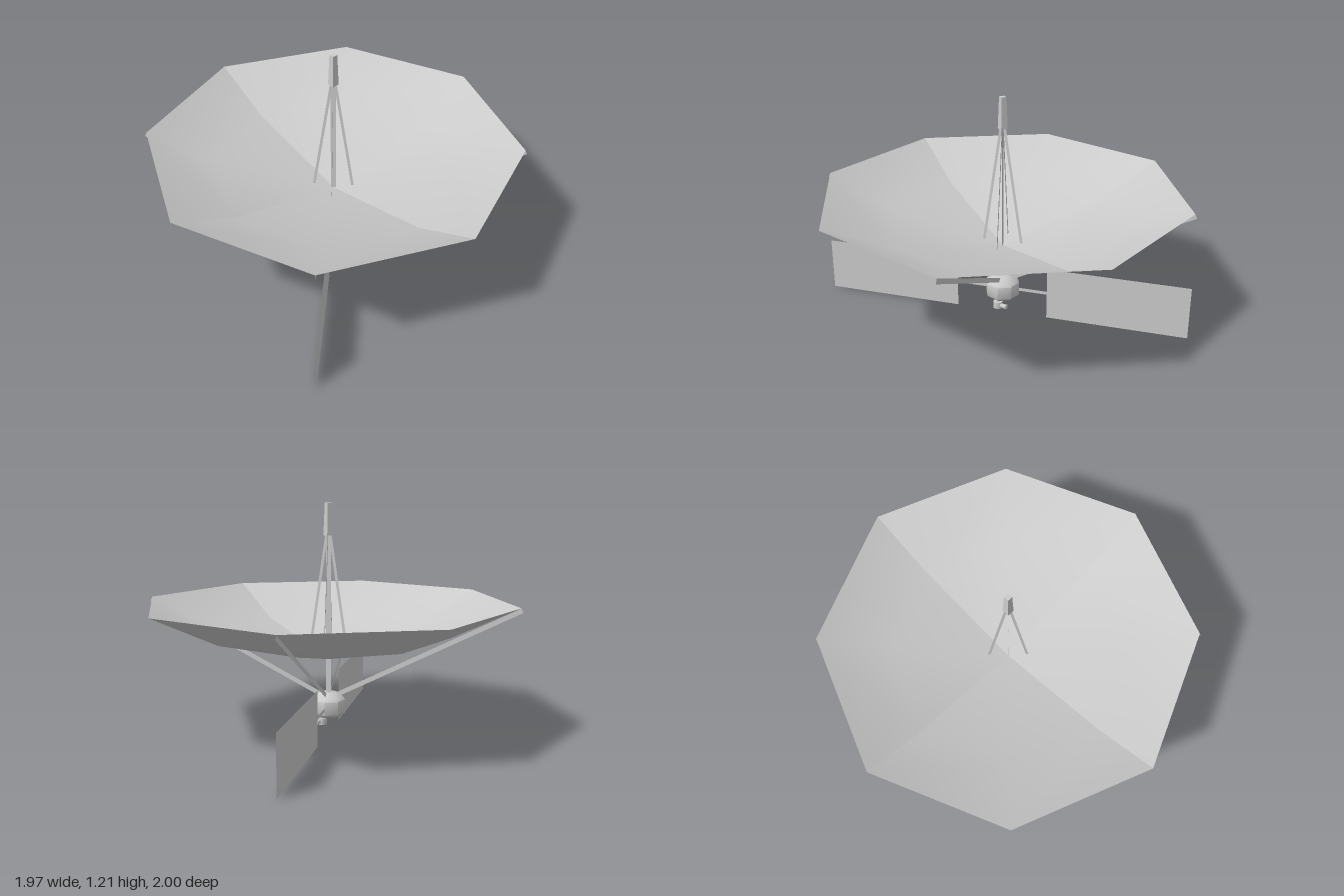
import * as THREE from 'three';
import { mergeVertices, toCreasedNormals } from 'three/addons/utils/BufferGeometryUtils.js';

const material = new THREE.MeshStandardMaterial({ color: 0xcccccc, side: THREE.DoubleSide });

function add(parent, name, geometry) {
  const mesh = new THREE.Mesh(geometry, material);
  mesh.name = name;
  parent.add(mesh);
  return mesh;
}

// Flat strip in a vertical plane through the axis, from (r0, y0) to (r1, y1), turned about y
function strip(parent, name, [r0, y0], [r1, y1], width, turn = 0) {
  const geometry = new THREE.PlaneGeometry(Math.hypot(r1 - r0, y1 - y0), width);
  geometry.rotateZ(Math.atan2(y1 - y0, r1 - r0));
  geometry.translate((r0 + r1) / 2, (y0 + y1) / 2, 0);
  geometry.rotateY(turn);
  return add(parent, name, geometry);
}

function lathe(points, sides, start = 0, sweep = Math.PI * 2) {
  return new THREE.LatheGeometry(points.map(([r, y]) => new THREE.Vector2(r, y)), sides, start, sweep);
}

export function createModel() {
  const model = new THREE.Group();
  model.name = 'dishSatellite';
  const core = new THREE.Group();
  core.name = 'core';
  core.position.z = -0.005;
  model.add(core);

  // Octagonal dish: four sectors, each smooth inside, creased along the diagonals
  const dish = new THREE.Group();
  dish.name = 'dish';
  core.add(dish);
  for (let i = 0; i < 4; i++) {
    let sector = lathe([[0, 0.4], [0.63, 0.535], [0.977, 0.7]], 2, -Math.PI / 4 + i * Math.PI / 2, Math.PI / 2);
    sector.deleteAttribute('normal');
    sector.deleteAttribute('uv');
    sector = mergeVertices(sector);
    sector.computeVertexNormals();
    add(dish, 'dishSector', sector);
  }

  // Rim struts below and feed legs above, one pair in each axis direction
  for (let i = 0; i < 4; i++) {
    const turn = i * Math.PI / 2;
    strip(core, 'rimStrut', [0.03, 0.205], [0.982, 0.688], 0.024, turn);
    strip(core, 'feedLeg', [0.102, 0.42], [0.008, 1.06], 0.014, turn);
  }

  // Central mast and tapered feed horn
  strip(core, 'mast', [0, 0.21], [0, 1.06], 0.027);
  const horn = new THREE.CylinderGeometry(0.019, 0.026, 0.165, 4);
  add(core, 'feedHorn', toCreasedNormals(horn, 0.6)).position.y = 1.1275;

  // Chamfered hub
  const hub = lathe([[0, 0.1], [0.07, 0.1], [0.092, 0.118], [0.092, 0.187], [0.085, 0.197], [0.05, 0.222], [0, 0.222]], 8);
  add(core, 'hub', toCreasedNormals(hub, 0.85));

  // Small thruster under the hub
  const thruster = new THREE.Group();
  thruster.name = 'thruster';
  thruster.position.set(0.038, 0.062, 0.015);
  core.add(thruster);
  add(thruster, 'thrusterBody', toCreasedNormals(new THREE.CylinderGeometry(0.026, 0.026, 0.036, 8), 0.9));
  add(thruster, 'thrusterStem', new THREE.CylinderGeometry(0.009, 0.009, 0.03, 6)).position.y = 0.03;
  const nozzle = add(thruster, 'thrusterNozzle', new THREE.CylinderGeometry(0.014, 0.011, 0.04, 8).rotateX(-Math.PI / 2));
  nozzle.position.set(0.015, 0, -0.035);
  nozzle.rotation.y = -0.3;

  // Solar panels on arms, front and back
  for (const side of [1, -1]) {
    const turn = -side * Math.PI / 2;
    strip(model, 'panelArm', [0.08, 0.148], [0.25, 0.148], 0.018, turn);
    strip(model, 'solarPanel', [0.25, 0.145], [1, 0.145], 0.29, turn);
  }
  return model;
}
